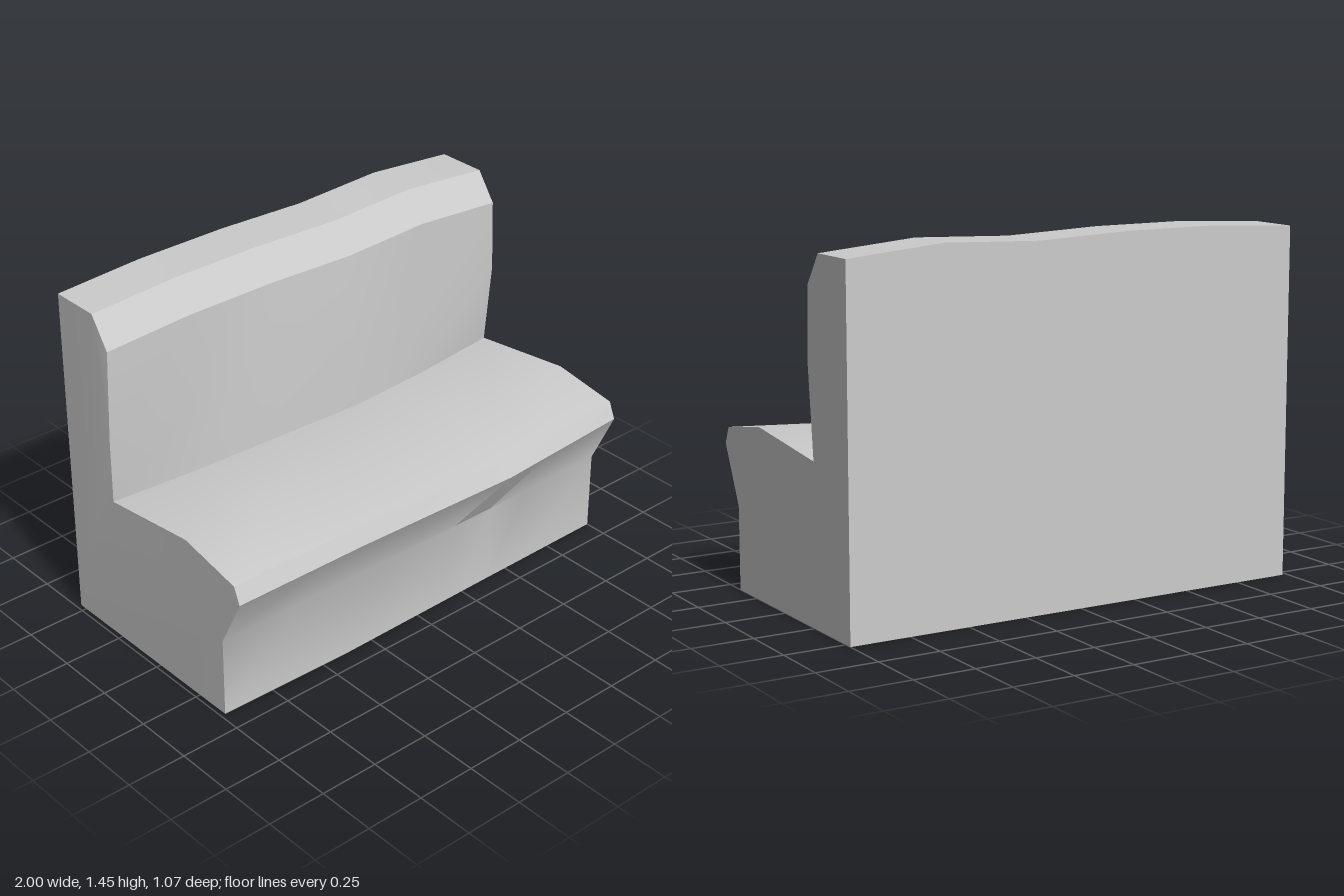
import * as THREE from 'three';
import { toCreasedNormals } from 'three/addons/utils/BufferGeometryUtils.js';

// stations along the bench at which the seat and the backrest profiles change
const SEAT = [-0.98, -0.4, 0.4, 1];
const BACK = [-0.98, -0.6, -0.2, 0.2, 0.6, 1];
const STATIONS = [-0.98, -0.6, -0.4, -0.2, 0.2, 0.4, 0.6, 1];

// lengthwise edges, in order round the profile: knots, heights, depths
const EDGES = [
  [SEAT, [0, 0, 0, 0], [0.405, 0.42, 0.41, 0.405]],                        // front foot
  [SEAT, [0.34, 0.35, 0.34, 0.34], [0.405, 0.42, 0.41, 0.405]],            // under the lip
  [SEAT, [0.56, 0.575, 0.54, 0.575], [0.515, 0.535, 0.52, 0.515]],         // lip nose
  [SEAT, [0.63, 0.645, 0.61, 0.645], [0.485, 0.505, 0.485, 0.485]],        // lip top
  [SEAT, [0.69, 0.69, 0.66, 0.69], [0.2, 0.2, 0.2, 0.2]],                  // seat crest
  [BACK, [0.635, 0.64, 0.65, 0.637, 0.632, 0.637], [-0.255, -0.22, -0.19, -0.19, -0.22, -0.26]], // crease
  [BACK, [0.93, 0.93, 0.97, 0.93, 0.92, 0.99], [-0.225, -0.225, -0.205, -0.205, -0.23, -0.225]], // lumbar
  [BACK, [1.3, 1.32, 1.32, 1.305, 1.32, 1.29], Array(6).fill(-0.235)],     // chamfer foot
  [BACK, [1.425, 1.445, 1.445, 1.43, 1.445, 1.41], Array(6).fill(-0.32)],  // top front
  [BACK, [1.425, 1.445, 1.445, 1.43, 1.445, 1.41], Array(6).fill(-0.535)], // top rear
  [BACK, Array(6).fill(0), Array(6).fill(-0.535)],                         // rear foot
];
const LUMBAR = 6;

// straight-line interpolation between knots
function sample(knots, values, x) {
  let i = 0;
  while (i < knots.length - 2 && x > knots[i + 1]) i++;
  const t = (x - knots[i]) / (knots[i + 1] - knots[i]);
  return values[i] + t * (values[i + 1] - values[i]);
}

function benchGeometry() {
  const n = EDGES.length, last = STATIONS.length - 1;
  const points = [], index = [];
  STATIONS.forEach((x, i) => EDGES.forEach(([knots, ys, zs], j) => {
    // the right end of the backrest bulges outward a little
    const px = i === 0 && j === LUMBAR ? -1 : x;
    points.push(new THREE.Vector3(px, sample(knots, ys, x), sample(knots, zs, x)));
  }));

  // skin between neighbouring sections
  for (let i = 0; i < last; i++) {
    for (let j = 0; j < n; j++) {
      const k = (j + 1) % n;
      const a = i * n + j, b = a + n, c = (i + 1) * n + k, d = i * n + k;
      index.push(a, b, c, a, c, d);
    }
  }

  // end caps, facing outward
  for (const [start, side] of [[0, -1], [last * n, 1]]) {
    const outline = points.slice(start, start + n).map((p) => new THREE.Vector2(-p.z, p.y));
    for (const [a, b, c] of THREE.ShapeUtils.triangulateShape(outline, [])) {
      const area = THREE.ShapeUtils.area([outline[a], outline[b], outline[c]]);
      const order = area * side > 0 ? [a, b, c] : [a, c, b];
      index.push(...order.map((v) => v + start));
    }
  }

  const geometry = new THREE.BufferGeometry().setFromPoints(points);
  geometry.setIndex(index);
  return toCreasedNormals(geometry, 0.5);
}

export function createModel() {
  const group = new THREE.Group();
  group.name = 'bench';
  const body = new THREE.Mesh(benchGeometry(), new THREE.MeshStandardMaterial({ color: 0xcccccc }));
  body.name = 'benchSeatAndBackrest';
  group.add(body);
  return group;
}
